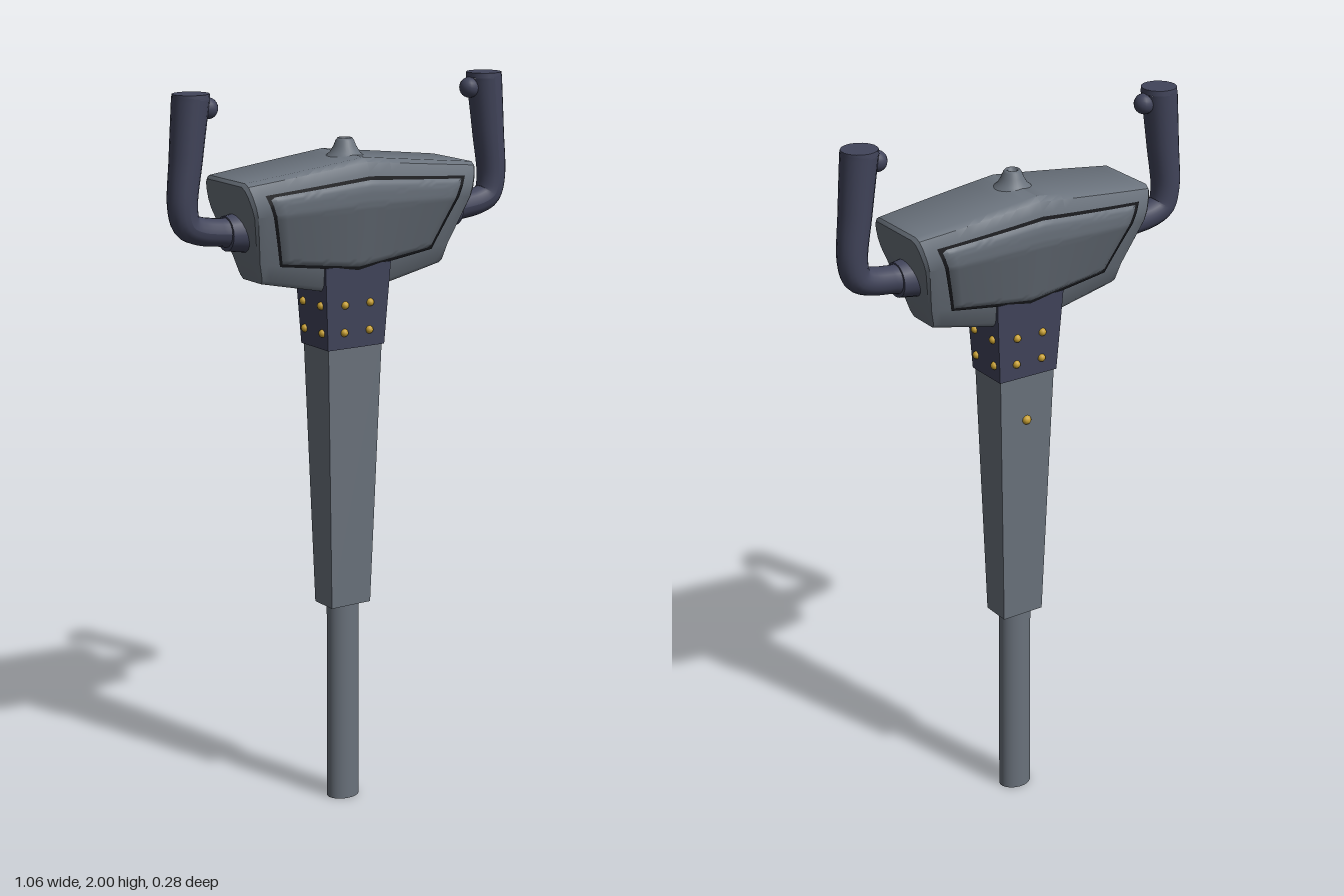
import * as THREE from 'three';
import { toCreasedNormals } from 'three/addons/utils/BufferGeometryUtils.js';

const mat = (color) => new THREE.MeshStandardMaterial({ color });
const MAT = { body: mat(0x6a727c), dark: mat(0x41445a), groove: mat(0x17181c), gold: mat(0xc8a032) };

function add(parent, name, geometry, material) {
  const mesh = new THREE.Mesh(geometry, material);
  mesh.name = name;
  parent.add(mesh);
  return mesh;
}

// Grid of nu x nv quads whose points come from fn(u, v)
function grid(fn, nu, nv) {
  const pos = [], idx = [];
  for (let j = 0; j <= nv; j++) for (let i = 0; i <= nu; i++) pos.push(...fn(i / nu, j / nv, i, j));
  for (let j = 0; j < nv; j++) for (let i = 0; i < nu; i++) {
    const a = j * (nu + 1) + i, b = a + 1, c = a + nu + 1, d = c + 1;
    idx.push(a, b, d, a, d, c);
  }
  const g = new THREE.BufferGeometry();
  g.setAttribute('position', new THREE.Float32BufferAttribute(pos, 3));
  g.setIndex(idx);
  g.computeVertexNormals();
  return g;
}

// Depth of the head by height fraction t
const PROFILE = [[0, 0.05], [0.04, 0.062], [0.2, 0.073], [0.68, 0.131], [0.78, 0.133], [0.9, 0.126], [0.97, 0.116], [1, 0.1]];
function depth(t) {
  const k = Math.max(1, PROFILE.findIndex((p) => p[0] >= t));
  const [a, b] = [PROFILE[k - 1], PROFILE[k]];
  return THREE.MathUtils.mapLinear(t, a[0], b[0], a[1], b[1]);
}

// Front surface of the head: s runs -1..1 across, t runs 0..1 up
function headPoint(s, t) {
  const low = 1.44 + 0.06 * Math.abs(s), high = 1.815 - 0.042 * Math.abs(s);
  return [s * (0.29 + 0.075 * t), low + (high - low) * t, depth(t) * (1 - 0.12 * s * s)];
}

function headGeometry() {
  // Closed loop: up the front, down the back
  const ring = [...PROFILE.map((p) => [p[0], 1]), ...PROFILE.map((p) => [p[0], -1]).reverse()];
  ring.push(ring[0]);
  const stations = [-1, -1, -0.98];
  for (let i = -9; i <= 9; i++) stations.push(i / 10);
  stations.push(0.98, 1, 1);
  const n = stations.length - 1;
  const g = grid((u, v, i, j) => {
    const s = stations[i], [t, side] = ring[j];
    const [x, y, z] = headPoint(s, t);
    // Rounded rim, then the end sections collapse into caps
    const k = i === 0 || i === n ? 0 : i === 1 || i === n - 1 ? 0.94 : 1;
    const cy = 1.637, cx = Math.sign(s) * 0.329;
    return [k === 0 ? cx : x, cy + (y - cy) * k, z * side * k];
  }, n, ring.length - 1);
  return toCreasedNormals(g, 0.6);
}

// Patch lying on the head's front, shrunk by inset; rim = offset at its border
function panelGeometry(inset, offset, rim) {
  return toCreasedNormals(grid((u, v) => {
    const t = 0.19 + inset + (0.685 - 2 * inset) * v;
    const s = (u * 2 - 1) * (0.77 + 0.13 * t - inset);
    const p = headPoint(s, t);
    const border = u === 0 || u === 1 || v === 0 || v === 1;
    p[2] += border ? rim : offset;
    return p;
  }, 40, 28), 0.8);
}

// Box whose bottom and top have their own half sizes
function taperedBox(y0, y1, bottom, top) {
  const g = new THREE.BoxGeometry(2, 1, 2);
  const p = g.attributes.position;
  for (let i = 0; i < p.count; i++) {
    const up = p.getY(i) > 0, h = up ? top : bottom;
    p.setXYZ(i, p.getX(i) * h[0], up ? y1 : y0, p.getZ(i) * h[1]);
  }
  g.computeVertexNormals();
  return g;
}

// Tube with a radius that varies along its path
function taperedTube(points, radii, segments, sides) {
  const curve = new THREE.CatmullRomCurve3(points, false, 'centripetal');
  const g = new THREE.TubeGeometry(curve, segments, 1, sides);
  const p = g.attributes.position, v = new THREE.Vector3();
  for (let i = 0; i < p.count; i++) {
    const u = Math.floor(i / (sides + 1)) / segments;
    const f = u * (radii.length - 1), k = Math.min(Math.floor(f), radii.length - 2);
    const r = THREE.MathUtils.lerp(radii[k], radii[k + 1], f - k);
    const c = curve.getPointAt(u);
    v.fromBufferAttribute(p, i).sub(c).multiplyScalar(r).add(c);
    p.setXYZ(i, v.x, v.y, v.z);
  }
  g.computeVertexNormals();
  return g;
}

function makeHandle(side) {
  const handle = new THREE.Group();
  handle.name = side > 0 ? 'leftHandle' : 'rightHandle';
  const path = [[0.29, 1.63], [0.38, 1.638], [0.445, 1.648], [0.478, 1.665], [0.49, 1.71], [0.478, 1.84], [0.462, 1.99]]
    .map(([x, y]) => new THREE.Vector3(side * x, y, 0));
  add(handle, 'grip', taperedTube(path, [0.05, 0.037, 0.037, 0.04, 0.043, 0.046, 0.049], 48, 18), MAT.dark);
  // Flat grip end
  const cap = add(handle, 'gripEnd', new THREE.CylinderGeometry(0.048, 0.049, 0.014, 18), MAT.dark);
  cap.position.set(side * 0.461, 1.993, 0);
  // Flange where the arm meets the head
  const flange = add(handle, 'flange', new THREE.CylinderGeometry(0.046, 0.055, 0.06, 20), MAT.dark);
  flange.rotation.z = -side * Math.PI / 2;
  flange.position.set(side * 0.335, 1.633, 0);
  // Thumb button near the top, facing inwards
  const button = add(handle, 'thumbButton', new THREE.SphereGeometry(0.028, 16, 12), MAT.dark);
  button.position.set(side * 0.413, 1.96, 0);
  return handle;
}

export function createModel() {
  const model = new THREE.Group();
  model.name = 'controlColumn';

  // Oval pole, tapered column and collar
  const pole = add(model, 'pole', new THREE.CylinderGeometry(0.047, 0.047, 0.6, 32), MAT.body);
  pole.scale.z = 0.8;
  pole.position.y = 0.3;
  add(model, 'column', taperedBox(0.57, 1.32, [0.063, 0.042], [0.086, 0.061]), MAT.body);
  add(model, 'collar', taperedBox(1.3, 1.525, [0.09, 0.066], [0.104, 0.076]), MAT.dark);

  // Rivets: two rows of two on each collar face
  const rivets = new THREE.Group();
  rivets.name = 'rivets';
  model.add(rivets);
  const dome = new THREE.SphereGeometry(0.011, 10, 8);
  for (const y of [1.345, 1.42]) {
    const k = (y - 1.3) / 0.225, hx = 0.09 + 0.014 * k, hz = 0.066 + 0.01 * k;
    for (const a of [-1, 1]) for (const b of [-1, 1]) {
      add(rivets, 'rivet', dome, MAT.gold).position.set(a * 0.04, y, b * hz);
      add(rivets, 'rivet', dome, MAT.gold).position.set(a * hx, y, b * 0.043);
    }
  }
  const stud = add(model, 'backStud', new THREE.SphereGeometry(0.013, 12, 10), MAT.gold);
  stud.position.set(0, 1.17, -0.057);

  // Head with a framed panel on each face
  add(model, 'head', headGeometry(), MAT.body);
  const groove = panelGeometry(0, 0.003, 0.003), panel = panelGeometry(0.022, 0.008, 0.002);
  for (const [side, turn] of [['front', 0], ['back', Math.PI]]) {
    add(model, side + 'PanelGroove', groove, MAT.groove).rotation.y = turn;
    add(model, side + 'Panel', panel, MAT.body).rotation.y = turn;
  }

  // Flared nub on top with a small hollow
  const nub = [[0, 1.842], [0.012, 1.842], [0.013, 1.854], [0.019, 1.856], [0.024, 1.85], [0.03, 1.835], [0.04, 1.818], [0.058, 1.803]]
    .map(([x, y]) => new THREE.Vector2(x, y)).reverse();
  add(model, 'topNub', new THREE.LatheGeometry(nub, 28), MAT.body).position.z = 0.01;

  for (const side of [1, -1]) model.add(makeHandle(side));
  return model;
}
